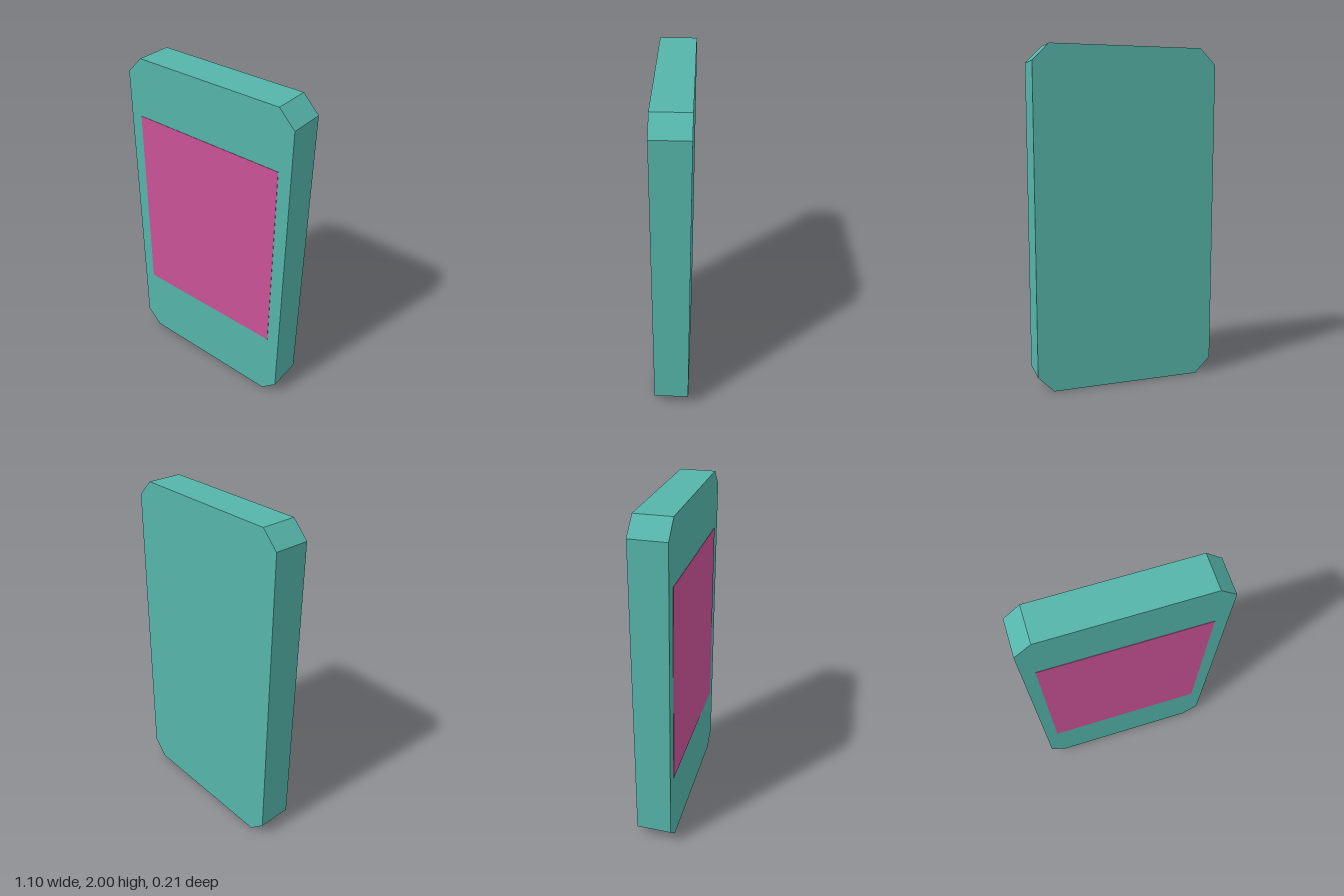
import * as THREE from 'three';

const W = 0.55, H = 2, CUT = 0.095, BACK = -0.105, FRONT = 0.103;

export function createModel() {
  const group = new THREE.Group();

  // Slab with chamfered corners
  const outline = new THREE.Shape([
    [-W + CUT, 0], [W - CUT, 0], [W, CUT], [W, H - CUT],
    [W - CUT, H], [-W + CUT, H], [-W, H - CUT], [-W, CUT],
  ].map(([x, y]) => new THREE.Vector2(x, y)));
  const body = new THREE.Mesh(
    new THREE.ExtrudeGeometry(outline, { depth: FRONT - BACK, bevelEnabled: false }),
    new THREE.MeshStandardMaterial({ color: 0x55b5aa, flatShading: true }),
  );
  body.position.z = BACK;
  body.name = 'body';
  group.add(body);

  // Thin screen panel, almost flush with the front
  const screen = new THREE.Mesh(
    new THREE.BoxGeometry(0.95, 1.195, 0.012),
    new THREE.MeshStandardMaterial({ color: 0xcb5298, flatShading: true }),
  );
  screen.position.set(-0.003, 1.053, FRONT + 0.002 - 0.006);
  screen.name = 'screen';
  group.add(screen);

  return group;
}
